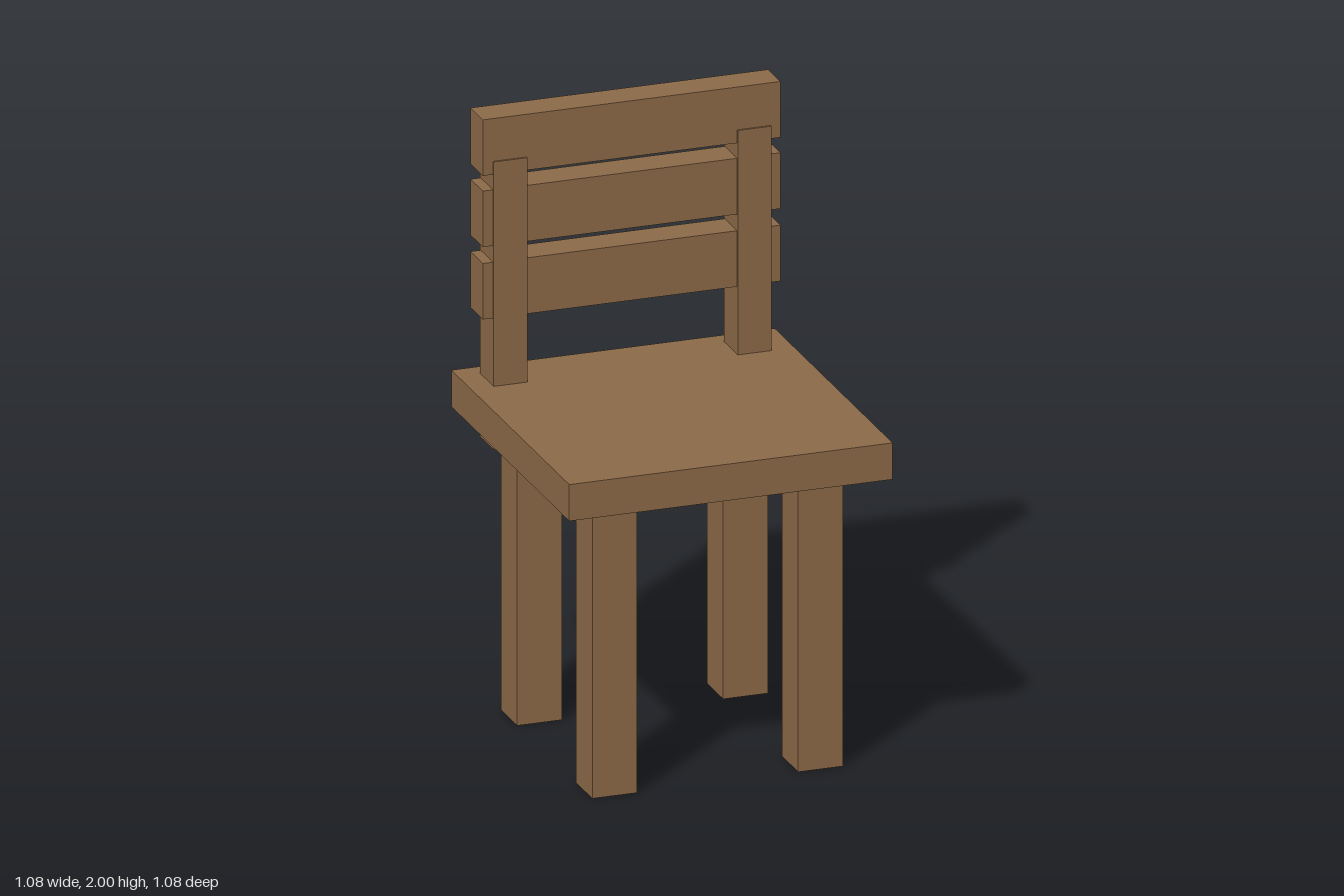
import * as THREE from 'three';

export function createModel() {
  const chair = new THREE.Group();
  chair.name = 'chair';
  const wood = new THREE.MeshStandardMaterial({ color: 0x8b6947 });

  // Box given by its extents along each axis
  function block(name, [x0, x1], [y0, y1], [z0, z1]) {
    const mesh = new THREE.Mesh(new THREE.BoxGeometry(x1 - x0, y1 - y0, z1 - z0), wood);
    mesh.position.set((x0 + x1) / 2, (y0 + y1) / 2, (z0 + z1) / 2);
    mesh.name = name;
    chair.add(mesh);
  }

  block('seat', [-0.538, 0.538], [0.985, 1.107], [-0.538, 0.538]);

  // Four square legs
  const near = [0.267, 0.416], far = [-0.418, -0.269];
  for (const [side, x] of [['Left', near], ['Right', far]]) {
    block(`front${side}Leg`, x, [0, 0.99], [0.27, 0.419]);
    block(`back${side}Leg`, x, [0, 0.99], [-0.415, -0.266]);
  }

  // Back posts pass through the seat and poke out below it
  block('leftBackPost', [0.349, 0.461], [0.895, 1.857], [-0.483, -0.357]);
  block('rightBackPost', [-0.463, -0.351], [0.895, 1.857], [-0.483, -0.357]);

  // Three backrest slats, slightly thinner than the posts
  for (const top of [1.52, 1.762, 2]) {
    block('backSlat', [-0.497, 0.493], [top - 0.187, top], [-0.476, -0.363]);
  }

  return chair;
}
